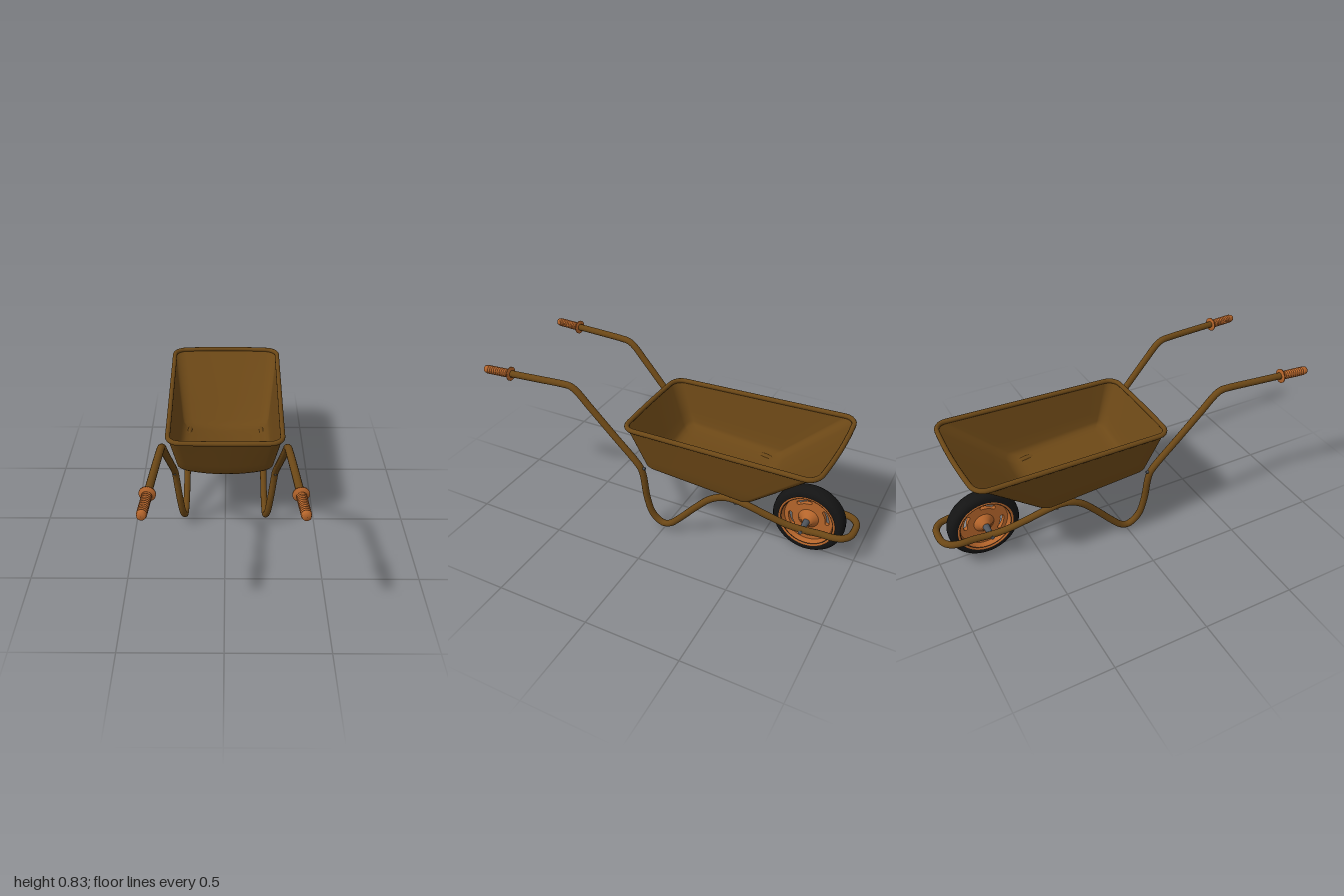
import * as THREE from 'three';

const material = (color) => new THREE.MeshStandardMaterial({ color, side: THREE.DoubleSide });
const paint = material(0x6b4716), orange = material(0xb5652b);
const rubber = material(0x141414), steel = material(0x50555c);
const V = (x, y, z) => new THREE.Vector3(x, y, z);
const lerp = THREE.MathUtils.lerp;

function add(parent, name, geometry, mat) {
  const mesh = new THREE.Mesh(geometry, mat);
  mesh.name = name;
  parent.add(mesh);
  return mesh;
}

const lathe = (points, segments = 48) =>
  new THREE.LatheGeometry(points.map(([r, y]) => new THREE.Vector2(r, y)), segments);

// Rounded unit square, [u, v] pairs, used for every tray cross-section
function roundedSquare(ru, rv) {
  const corners = [];
  for (const [su, sv, start] of [[1, 1, 0], [-1, 1, 1], [-1, -1, 2], [1, -1, 3]]) {
    for (let i = 0; i <= 7; i++) {
      const a = (start + i / 7) * Math.PI / 2;
      corners.push([su * (1 - ru) + ru * Math.cos(a), sv * (1 - rv) + rv * Math.sin(a)]);
    }
  }
  const out = [];
  corners.forEach((p, i) => {
    out.push(p);
    if (i % 8 !== 7) return;
    const q = corners[(i + 1) % corners.length];
    for (let j = 1; j < 10; j++) out.push([lerp(p[0], q[0], j / 10), lerp(p[1], q[1], j / 10)]);
  });
  return out;
}

// Tray point: k scales the floor outward, h climbs the wall from floor to rim
function trayPoint(u, v, k, h) {
  const uk = u * k, vk = v * k, t = (vk + 1) / 2;
  const x = uk * lerp(0.25 + 0.06 * h, 0.25 + 0.043 * h, t);
  const bulge = h * (1 - uk * uk) * (vk < 0 ? -0.016 : 0.006) * vk * vk;
  const z = lerp(-0.48 - 0.36 * h, 0.085 + 0.105 * h, t) + bulge;
  const floor = lerp(0.315, 0.355, t) + 0.035 * uk * uk;
  return V(x, lerp(floor, lerp(0.652, 0.63, t), h), z);
}

function buildTray() {
  const group = new THREE.Group();
  group.name = 'tray';
  const outline = roundedSquare(0.21, 0.11), n = outline.length;
  const levels = [[0, 0], [0.3, 0], [0.6, 0], [0.82, 0], [0.91, 0.01], [0.97, 0.035],
    [1, 0.09], [1, 0.3], [1, 0.55], [1, 0.8], [1, 1]];
  const positions = [], index = [];
  levels.forEach(([k, h], row) => {
    outline.forEach(([u, v], i) => {
      positions.push(...trayPoint(u, v, k, h).toArray());
      if (row === 0) return;
      const a = (row - 1) * n + i, b = (row - 1) * n + (i + 1) % n;
      if (row > 1) index.push(a, a + n, b);
      index.push(b, a + n, b + n);
    });
  });
  const shell = new THREE.BufferGeometry();
  shell.setAttribute('position', new THREE.Float32BufferAttribute(positions, 3));
  shell.setIndex(index);
  shell.computeVertexNormals();
  add(group, 'trayShell', shell, paint);
  // Rolled lip
  const lip = new THREE.CatmullRomCurve3(outline.map(([u, v]) => trayPoint(u, v, 1, 1)), true);
  add(group, 'trayLip', new THREE.TubeGeometry(lip, 160, 0.013, 10, true), paint);
  return group;
}

// One bent tube: handle, leg, hump under the tray, loop around the wheel, mirrored
function buildFrame() {
  const half = [
    V(0.328, 0.794, 0.92), V(0.31, 0.798, 0.7), V(0.295, 0.8, 0.53), V(0.292, 0.797, 0.495),
    V(0.29, 0.78, 0.462), V(0.286, 0.7, 0.385), V(0.276, 0.55, 0.245), V(0.268, 0.43, 0.132),
    V(0.264, 0.39, 0.106), V(0.26, 0.34, 0.095), V(0.246, 0.2, 0.085), V(0.235, 0.1, 0.062),
    V(0.227, 0.055, 0.03), V(0.225, 0.04, -0.002), V(0.223, 0.052, -0.042), V(0.22, 0.1, -0.093),
    V(0.217, 0.215, -0.195), V(0.216, 0.29, -0.27), V(0.215, 0.327, -0.34), V(0.213, 0.334, -0.4),
    V(0.205, 0.318, -0.47), V(0.177, 0.27, -0.57), V(0.142, 0.22, -0.67), V(0.118, 0.198, -0.75),
    V(0.106, 0.195, -0.83), V(0.104, 0.195, -0.9), V(0.09, 0.195, -0.945), V(0.055, 0.195, -0.975),
  ];
  const mirrored = half.map((p) => V(-p.x, p.y, p.z)).reverse();
  const path = new THREE.CatmullRomCurve3([...half, V(0, 0.195, -0.982), ...mirrored], false, 'centripetal');
  const mesh = new THREE.Mesh(new THREE.TubeGeometry(path, 420, 0.018, 14), paint);
  mesh.name = 'frameTube';
  return mesh;
}

// Ribbed grip with a hand-stop flange
function buildGrip(side) {
  const profile = [[0.018, 0], [0.037, 0.001], [0.037, 0.008], [0.022, 0.011]];
  for (let i = 0; i < 11; i++) {
    const y = 0.016 + i * 0.012;
    profile.push([0.019, y], [0.023, y + 0.003], [0.023, y + 0.008], [0.019, y + 0.011]);
  }
  profile.push([0.021, 0.15], [0.018, 0.16], [0, 0.16]);
  const mesh = new THREE.Mesh(lathe(profile, 24), orange);
  mesh.name = side > 0 ? 'leftGrip' : 'rightGrip';
  mesh.position.set(side * 0.3225, 0.795, 0.84);
  mesh.quaternion.setFromUnitVectors(V(0, 1, 0), V(side * 0.08, -0.012, 1).normalize());
  return mesh;
}

// Wheel built around the y axis, then laid across x
function buildWheel() {
  const wheel = new THREE.Group();
  wheel.name = 'wheel';
  add(wheel, 'tyre', lathe([[0.138, -0.042], [0.155, -0.045], [0.17, -0.043], [0.182, -0.037],
    [0.19, -0.025], [0.193, 0], [0.19, 0.025], [0.182, 0.037], [0.17, 0.043], [0.155, 0.045],
    [0.138, 0.042]], 64), rubber);
  add(wheel, 'rim', lathe([[0.152, -0.045], [0.149, -0.049], [0.143, -0.047], [0.137, -0.035],
    [0.131, -0.015], [0.131, 0.015], [0.137, 0.035], [0.143, 0.047], [0.149, 0.049],
    [0.152, 0.045]], 64), orange);
  // Disc with four curved slots
  const disc = new THREE.Shape().absarc(0, 0, 0.133, 0, Math.PI * 2);
  for (let i = 0; i < 4; i++) {
    const a = 0.32 + i * Math.PI / 2, spread = 0.33, r = 0.1, w = 0.01;
    const slot = new THREE.Path();
    slot.absarc(0, 0, r + w, a - spread, a + spread, false);
    slot.absarc(r * Math.cos(a + spread), r * Math.sin(a + spread), w, a + spread, a + spread + Math.PI, false);
    slot.absarc(0, 0, r - w, a + spread, a - spread, true);
    slot.absarc(r * Math.cos(a - spread), r * Math.sin(a - spread), w, a - spread + Math.PI, a - spread + 2 * Math.PI, false);
    disc.holes.push(slot);
  }
  const plate = new THREE.ExtrudeGeometry(disc, { depth: 0.024, bevelEnabled: false, curveSegments: 24 });
  plate.translate(0, 0, -0.012).rotateX(Math.PI / 2);
  add(wheel, 'wheelDisc', plate, orange);
  add(wheel, 'hub', lathe([[0.016, -0.045], [0.026, -0.044], [0.032, -0.03], [0.055, -0.012],
    [0.055, 0.012], [0.032, 0.03], [0.026, 0.044], [0.016, 0.045]], 32), orange);
  add(wheel, 'axle', new THREE.CylinderGeometry(0.011, 0.011, 0.28, 16), steel);
  add(wheel, 'axleSpacer', lathe([[0.011, -0.106], [0.014, -0.106], [0.018, -0.046],
    [0.018, 0.046], [0.014, 0.106], [0.011, 0.106]], 20), steel);
  wheel.rotation.z = Math.PI / 2;
  wheel.position.set(0, 0.193, -0.74);
  return wheel;
}

export function createModel() {
  const model = new THREE.Group();
  model.name = 'wheelbarrow';
  model.add(buildTray(), buildFrame(), buildWheel());
  for (const side of [1, -1]) {
    model.add(buildGrip(side));
    // Bolts holding the tray to the tube
    const rear = add(model, 'rearBolt', new THREE.CylinderGeometry(0.008, 0.008, 0.05, 6), steel);
    rear.rotation.x = Math.PI / 2;
    rear.position.set(side * 0.265, 0.397, 0.105);
    const under = add(model, 'underBolt', new THREE.CylinderGeometry(0.008, 0.008, 0.03, 6), steel);
    under.position.set(side * 0.213, 0.324, -0.41);
  }
  return model;
}
